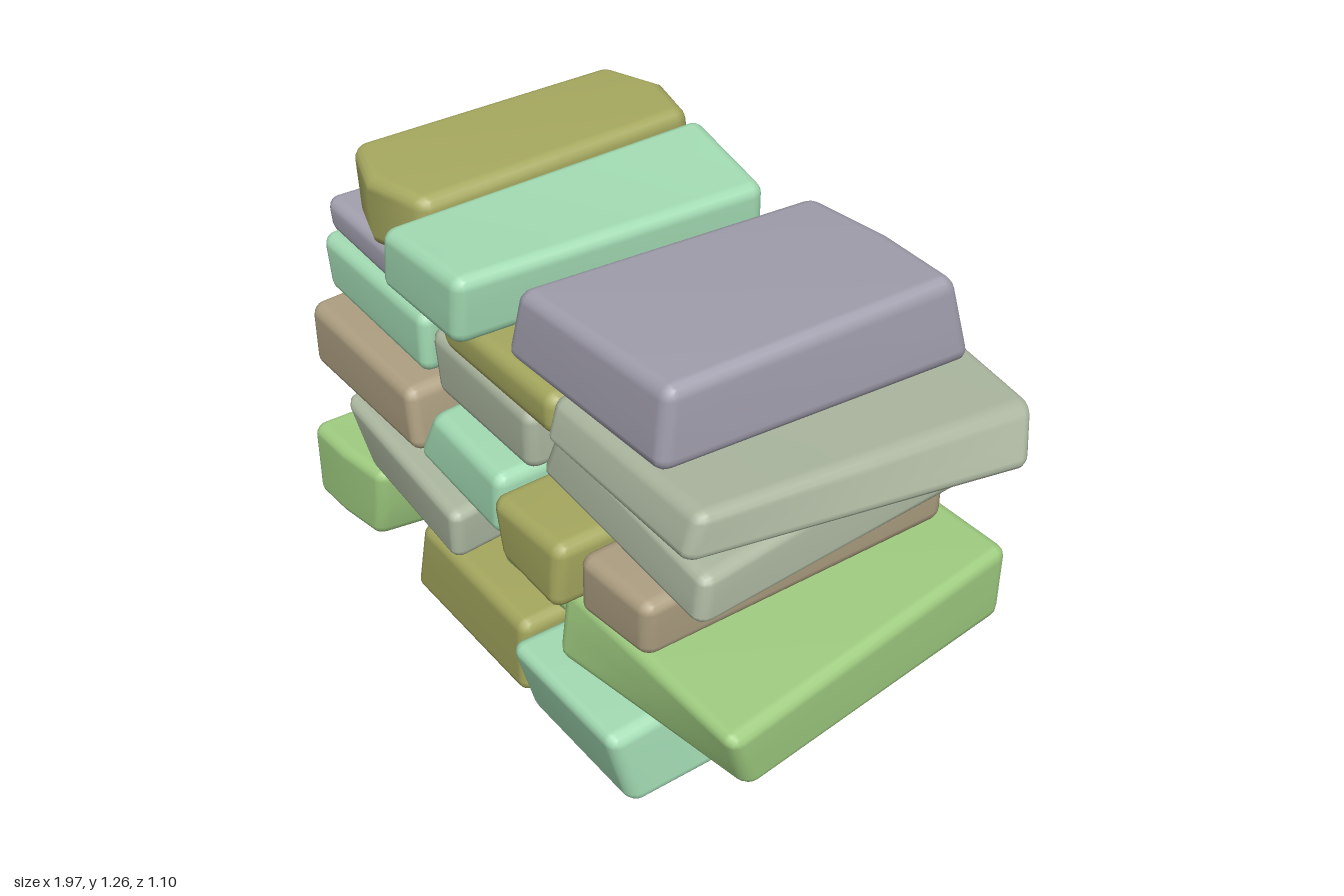
import * as THREE from 'three';
import { mergeVertices } from 'three/addons/utils/BufferGeometryUtils.js';

const material = (name, color) => {
  const m = new THREE.MeshStandardMaterial({ color });
  m.name = name;
  return m;
};

// Corner letters: L/R = -x/+x side, D/T = down/top, K/F = back/front
const SIDES = { L: [0, -1], R: [0, 1], D: [1, -1], T: [1, 1], K: [2, -1], F: [2, 1] };

// Rounded block in the given bounds. Each tweak shifts the corners its letters
// select; ridge pushes the middle of the [left, right, back, front] faces out.
function stoneGeometry([x0, x1, y0, y1, z0, z1], tweaks = {}, ridge = [0, 0, 0, 0], r = 0.038) {
  const half = [(x1 - x0) / 2, (y1 - y0) / 2, (z1 - z0) / 2];
  const centre = [(x0 + x1) / 2, (y0 + y1) / 2, (z0 + z1) / 2];
  const geo = new THREE.BoxGeometry(6, 6, 6, 6, 6, 6);
  const pos = geo.attributes.position;
  for (let i = 0; i < pos.count; i++) {
    const grid = [pos.getX(i), pos.getY(i), pos.getZ(i)].map(Math.round);
    // Rounded edges with two steps per quarter turn
    const dir = new THREE.Vector3(...grid.map((g) => Math.sign(g) * [0, 0, 0.41, 1][Math.abs(g)])).normalize();
    const p = dir.toArray().map((d, k) => Math.sign(grid[k]) * (half[k] - r) + d * r);
    const u = p.map((v, k) => v / half[k]);
    const out = p.map((v, k) => v + centre[k]);
    // Corner shifts, blended across the block
    for (const [key, shift] of Object.entries(tweaks)) {
      let w = 1;
      for (const c of key) w *= (1 + SIDES[c][1] * u[SIDES[c][0]]) / 2;
      shift.forEach((s, k) => { out[k] += s * w; });
    }
    // Ridged sides and pointed ends
    out[0] += (u[0] < 0 ? ridge[0] : ridge[1]) * u[0] * (1 - Math.abs(u[1]));
    out[2] += (u[2] < 0 ? ridge[2] : ridge[3]) * u[2] * (1 - Math.abs(u[0]));
    pos.setXYZ(i, ...out);
  }
  geo.deleteAttribute('normal');
  geo.deleteAttribute('uv');
  const smooth = mergeVertices(geo, 1e-4);
  smooth.computeVertexNormals();
  return smooth;
}

export function createModel() {
  const model = new THREE.Group();
  model.name = 'stackedStoneWall';
  const olive = material('olive stone', 0xa6a95f);
  const green = material('green stone', 0xa0cd81);
  const mint = material('mint stone', 0xa3dcb4);
  const purple = material('purple grey stone', 0xa4a1b0);
  const brown = material('brown stone', 0xad9f81);
  const sage = material('sage grey stone', 0xaab59e);

  let course;
  const startCourse = (name) => {
    course = new THREE.Group();
    course.name = name;
    model.add(course);
  };
  const stone = (name, mat, bounds, tweaks, ridge) => {
    const mesh = new THREE.Mesh(stoneGeometry(bounds, tweaks, ridge), mat);
    mesh.name = name;
    course.add(mesh);
  };

  startCourse('bottomCourse');
  stone('bottomLeftStone', green, [-0.93, -0.48, 0.0, 0.285, -0.41, 0.52],
    { RF: [-0.1, 0, -0.03], RK: [0, 0, 0.02], RD: [-0.05, 0, 0], RDF: [0, 0.03, 0], RTK: [0, -0.05, 0], LDF: [0, 0.03, 0] }, [0, 0.01, 0.05, 0.01]);
  stone('bottomMiddleStone', olive, [-0.42, 0.18, 0.02, 0.27, -0.42, 0.5],
    { LTK: [-0.05, -0.03, 0], LTF: [0.07, 0, -0.01], LDK: [0.03, 0, 0.05], LDF: [0.02, 0, 0], RDK: [-0.04, 0, 0.05] }, [0, 0, 0.04, 0]);
  stone('bottomRightStone', mint, [0.19, 0.65, 0.01, 0.275, -0.43, 0.53],
    { TK: [0, 0, 0.08], TF: [0, -0.015, 0.025], RTK: [-0.03, 0.01, 0], RDK: [0.03, 0.03, 0], DF: [0.01, 0, -0.04], LTK: [0.03, 0, 0] });

  startCourse('secondCourse');
  stone('secondLeftStone', sage, [-0.77, -0.13, 0.28, 0.5, -0.44, 0.51],
    { LDF: [0.14, 0, -0.03], LTF: [0.04, 0, 0], RTF: [0, -0.07, 0], RK: [-0.07, 0, 0], LDK: [0.02, 0.04, 0], TK: [0, -0.02, 0.05], RDK: [0, 0.01, 0] });
  stone('secondMiddleStone', green, [-0.1, 0.27, 0.27, 0.49, -0.49, 0.4],
    { LTF: [0.03, -0.05, 0], RDF: [-0.03, 0.02, 0], LK: [-0.04, 0, 0], RDK: [-0.03, 0, 0], LDF: [0.02, 0, 0] }, [0, 0, 0.02, 0]);
  stone('secondRightStone', green, [0.3, 0.98, 0.255, 0.49, -0.54, 0.45],
    { LDF: [0.03, 0.03, 0.05], LDK: [-0.02, 0.03, 0], RK: [-0.12, 0.01, 0], RTF: [0, -0.03, 0], RDF: [-0.02, 0, -0.08] });

  startCourse('thirdCourse');
  stone('thirdLeftStone', brown, [-0.99, -0.35, 0.49, 0.7, -0.48, 0.49],
    { LF: [0.07, 0, 0], RK: [-0.04, 0, 0], RDF: [0.01, 0.01, 0], RTF: [-0.02, -0.01, 0] });
  stone('thirdMiddleStone', mint, [-0.32, 0.09, 0.495, 0.69, -0.46, 0.5],
    { LTF: [0.06, 0, -0.02], LDF: [-0.01, 0.03, 0], LK: [-0.04, 0, 0], RK: [-0.01, 0, 0] });
  stone('thirdRightStone', olive, [0.1, 0.4, 0.49, 0.69, -0.45, 0.54],
    { LTF: [0.01, -0.01, 0], LDF: [0.04, 0, -0.01], RTF: [0.01, 0, -0.01] });
  stone('thirdEndStone', brown, [0.41, 0.69, 0.485, 0.685, -0.49, 0.48],
    { RTF: [-0.01, -0.02, -0.01], RDF: [-0.02, 0.01, -0.02], LTF: [0, -0.02, 0], RK: [-0.02, 0, 0] });

  startCourse('fourthCourse');
  stone('fourthLeftStone', mint, [-0.97, -0.39, 0.7, 0.89, -0.53, 0.42],
    { LDF: [0.05, 0.02, 0], LTF: [0.02, 0, 0], LTK: [-0.02, 0.01, 0], RK: [-0.06, 0, 0], RDK: [-0.02, 0, 0] });
  stone('fourthMiddleStone', sage, [-0.36, 0.12, 0.69, 0.885, -0.55, 0.42],
    { LDF: [0.03, 0, 0], RTF: [0, -0.02, 0], LK: [-0.03, 0, 0], LTK: [0.02, 0, 0.04], RTK: [-0.05, 0, 0.04] });
  stone('fourthRightStone', sage, [0.17, 0.83, 0.69, 0.905, -0.55, 0.43],
    { LTF: [0.05, 0, 0], LD: [0, 0.05, 0], RT: [-0.01, -0.08, 0], RK: [-0.05, 0, 0.01], RTK: [-0.02, 0.04, 0], LTK: [0.05, 0, 0], TF: [0, -0.01, -0.02] });

  startCourse('fifthCourse');
  stone('fifthLeftStone', purple, [-0.91, -0.35, 0.9, 1.03, -0.53, 0.42],
    { LF: [0.01, 0, 0], LDF: [0.02, 0.03, 0], RTF: [0, -0.01, 0], LTK: [0.03, 0, 0], RK: [-0.05, 0, 0] });
  stone('fifthMiddleStone', olive, [-0.27, 0.27, 0.895, 1.015, -0.48, 0.45],
    { LDF: [0.05, 0, 0], LTK: [0.02, 0, 0.04], RTK: [0, 0, 0.02] }, [0, 0, 0.06, 0]);
  stone('fifthRightStone', sage, [0.28, 0.94, 0.87, 1.04, -0.55, 0.49],
    { LDF: [0.01, 0.06, 0], LDK: [0, 0.05, 0], RTK: [-0.02, -0.04, 0.06], RDK: [0.06, 0, 0.13],
      RTF: [-0.09, 0, 0], RDF: [-0.09, 0.05, 0], TF: [0, 0, -0.04] });

  startCourse('topCourse');
  stone('topLeftStone', olive, [-0.78, -0.41, 1.02, 1.23, -0.46, 0.38],
    { RDF: [0.01, 0, 0], LDF: [0.02, 0, 0], RTF: [0, -0.02, 0], RDK: [0, 0, -0.03], LTK: [0, 0, 0.02] }, [0, 0, 0.06, 0.06]);
  stone('topMiddleStone', mint, [-0.38, 0.0, 1.03, 1.23, -0.42, 0.53],
    { LF: [-0.01, 0, 0], LTF: [0.02, -0.02, 0], LK: [0.06, 0, -0.02], RK: [0.02, 0, 0.03], LTK: [-0.02, 0.02, 0],
      RTK: [0, -0.02, 0], RDF: [-0.02, 0, 0] });
  stone('topRightStone', purple, [0.05, 0.71, 1.02, 1.245, -0.5, 0.44],
    { LT: [0.04, -0.02, 0], RT: [-0.02, 0.02, 0], RTK: [0, -0.01, 0.08], RDK: [0, -0.02, 0.01], RDF: [-0.02, 0.02, 0],
      LTK: [0.02, -0.03, 0.03], TF: [0, 0, -0.02] }, [0, 0, 0.02, 0]);

  return model;
}
